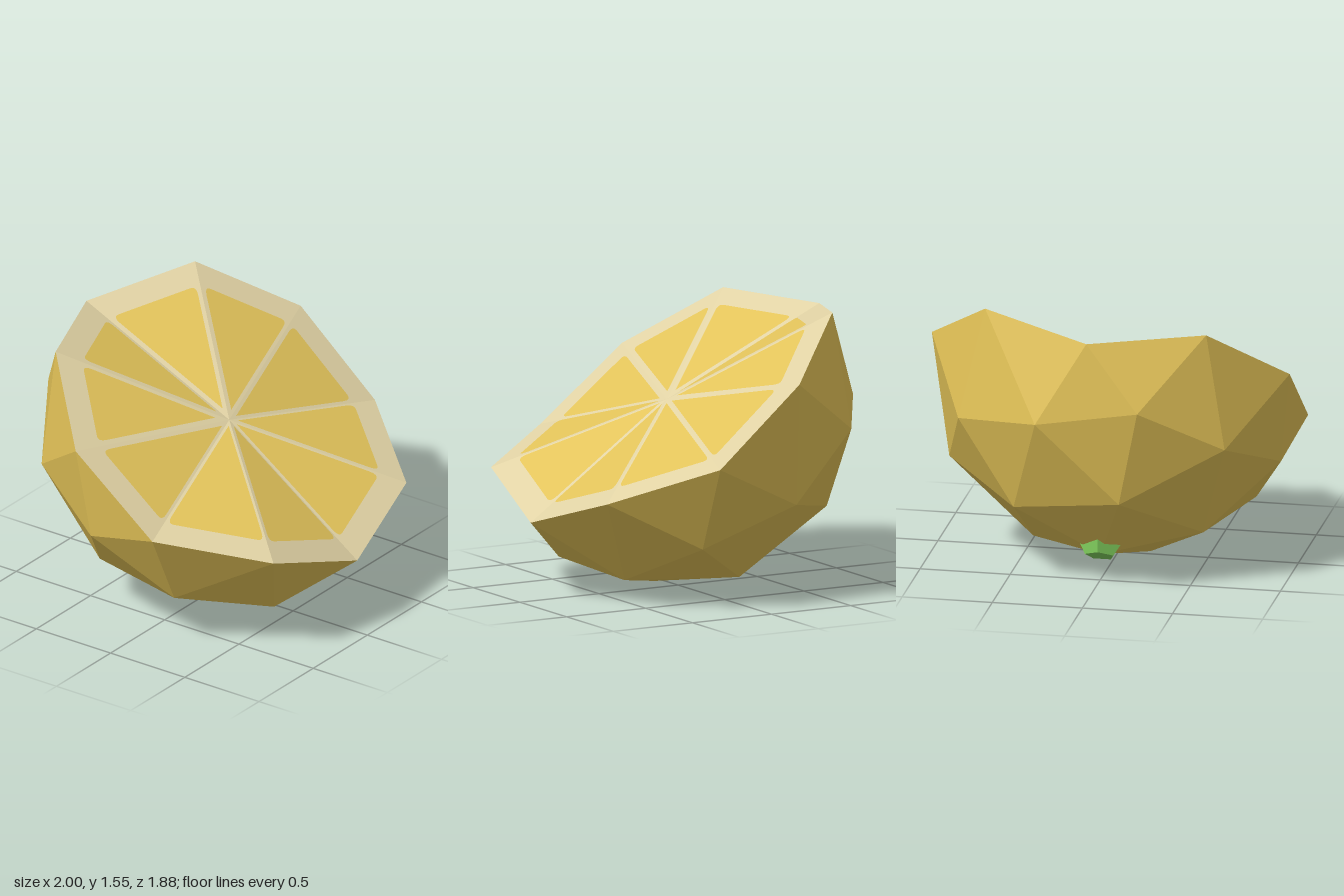
import * as THREE from 'three';

const RADIUS = 1.05;
const CENTRE = new THREE.Vector3(0, 1.036, 0.07);
// Frame of the tilted cut: across, towards the front along the cut, out of the cut
const U = new THREE.Vector3(1, 0, 0);
const V = new THREE.Vector3(0, -0.5257, 0.8507);
const N = new THREE.Vector3(0, 0.8507, 0.5257);

// Per rim corner, counted from the front towards +x: height off the cut plane, half width of the spoke
const RIM_LIFT = [-0.059, 0.039, -0.044, 0.055, 0.08, -0.131, 0.007, -0.057, -0.125, 0.049];
const SPOKE = [0.014, 0.015, 0.016, 0.02, 0.024, 0.026, 0.026, 0.028, 0.016, 0.015];

function mat(name, color) {
  const m = new THREE.MeshStandardMaterial({ color });
  m.name = name;
  return m;
}

// Point from azimuth (degrees), distance from the axis and height along it
function at(deg, radial, height) {
  const a = THREE.MathUtils.degToRad(deg);
  return CENTRE.clone()
    .addScaledVector(U, radial * Math.sin(a))
    .addScaledVector(V, radial * Math.cos(a))
    .addScaledVector(N, height);
}

// Faceted geometry from corner triples
function faceted(points) {
  const g = new THREE.BufferGeometry().setFromPoints(points);
  g.computeVertexNormals();
  return g;
}

function part(name, geometry, material) {
  const mesh = new THREE.Mesh(geometry, material);
  mesh.name = name;
  return mesh;
}

export function createModel() {
  const group = new THREE.Group();
  group.name = 'halvedCitrus';
  const peel = mat('peel yellow', 0xe0c056);
  const pith = mat('pith cream', 0xe0d2a4);
  const pulp = mat('pulp yellow', 0xe2c35a);
  const green = mat('stem green', 0x7fcc5c);

  const rim = RIM_LIFT.map((h, i) => at(i * 36, RADIUS, h));
  const rimAt = (i) => rim[(i + 10) % 10];

  // Peel: lower half of a once-divided icosahedron
  const pole = at(0, 0, -RADIUS);
  const low = (i) => at(72 * i - 18, 0.5257 * RADIUS, -0.8507 * RADIUS);
  const main = (i) => at(72 * i - 18, 0.8944 * RADIUS, -0.4472 * RADIUS);
  const between = (i) => at(72 * i + 18, 0.8507 * RADIUS, -0.5257 * RADIUS);
  const skin = [];
  for (let i = 0; i < 5; i++) {
    const b0 = low(i), b1 = low(i + 1), a0 = main(i), a1 = main(i + 1), c = between(i);
    const e0 = rimAt(2 * i - 1), e1 = rimAt(2 * i), e2 = rimAt(2 * i + 1);
    skin.push(
      pole, b1, b0,
      b0, b1, c,
      b0, c, a0,
      b1, a1, c,
      a0, c, e1,
      c, a1, e2,
      c, e2, e1,
      a0, e1, e0,
    );
  }
  group.add(part('peel', faceted(skin), peel));

  // Pith: fan across the uneven cut
  const fan = [];
  for (let i = 0; i < 10; i++) fan.push(CENTRE, rimAt(i), rimAt(i + 1));
  group.add(part('pith', faceted(fan), pith));

  // Pulp segments: rounded wedges drawn in the slanted axes of two neighbouring spokes
  const segments = new THREE.Group();
  segments.name = 'segments';
  for (let i = 0; i < 10; i++) {
    const p = rimAt(i).clone().sub(CENTRE);
    const q = rimAt(i + 1).clone().sub(CENTRE);
    const lp = p.length(), lq = q.length();
    p.normalize();
    q.normalize();
    const normal = p.clone().cross(q);
    const sine = normal.length();
    normal.normalize();
    const a = SPOKE[(i + 1) % 10] / sine;
    const b = SPOKE[i] / sine;
    const apex = new THREE.Vector2(a, b);
    const c1 = new THREE.Vector2(lp * (0.85 - b / lq), b);
    const c2 = new THREE.Vector2(a, lq * (0.85 - a / lp));
    const round = 0.07;
    const start = c1.clone().lerp(apex, round);
    const afterC1 = c1.clone().lerp(c2, round);
    const beforeC2 = c2.clone().lerp(c1, round);
    const end = c2.clone().lerp(apex, round);
    const shape = new THREE.Shape();
    shape.moveTo(apex.x, apex.y);
    shape.lineTo(start.x, start.y);
    shape.quadraticCurveTo(c1.x, c1.y, afterC1.x, afterC1.y);
    shape.lineTo(beforeC2.x, beforeC2.y);
    shape.quadraticCurveTo(c2.x, c2.y, end.x, end.y);
    shape.closePath();
    const geometry = new THREE.ShapeGeometry(shape, 4);
    const place = new THREE.Matrix4().makeBasis(p, q, normal);
    place.setPosition(CENTRE.clone().addScaledVector(normal, 0.004));
    geometry.applyMatrix4(place);
    geometry.computeVertexNormals();
    segments.add(part('segment' + (i + 1), geometry, pulp));
  }
  group.add(segments);

  // Stem stub at the pole
  const stem = part('stem', new THREE.DodecahedronGeometry(0.137), green);
  stem.position.set(0, 0.233, -0.45);
  group.add(stem);

  return group;
}
